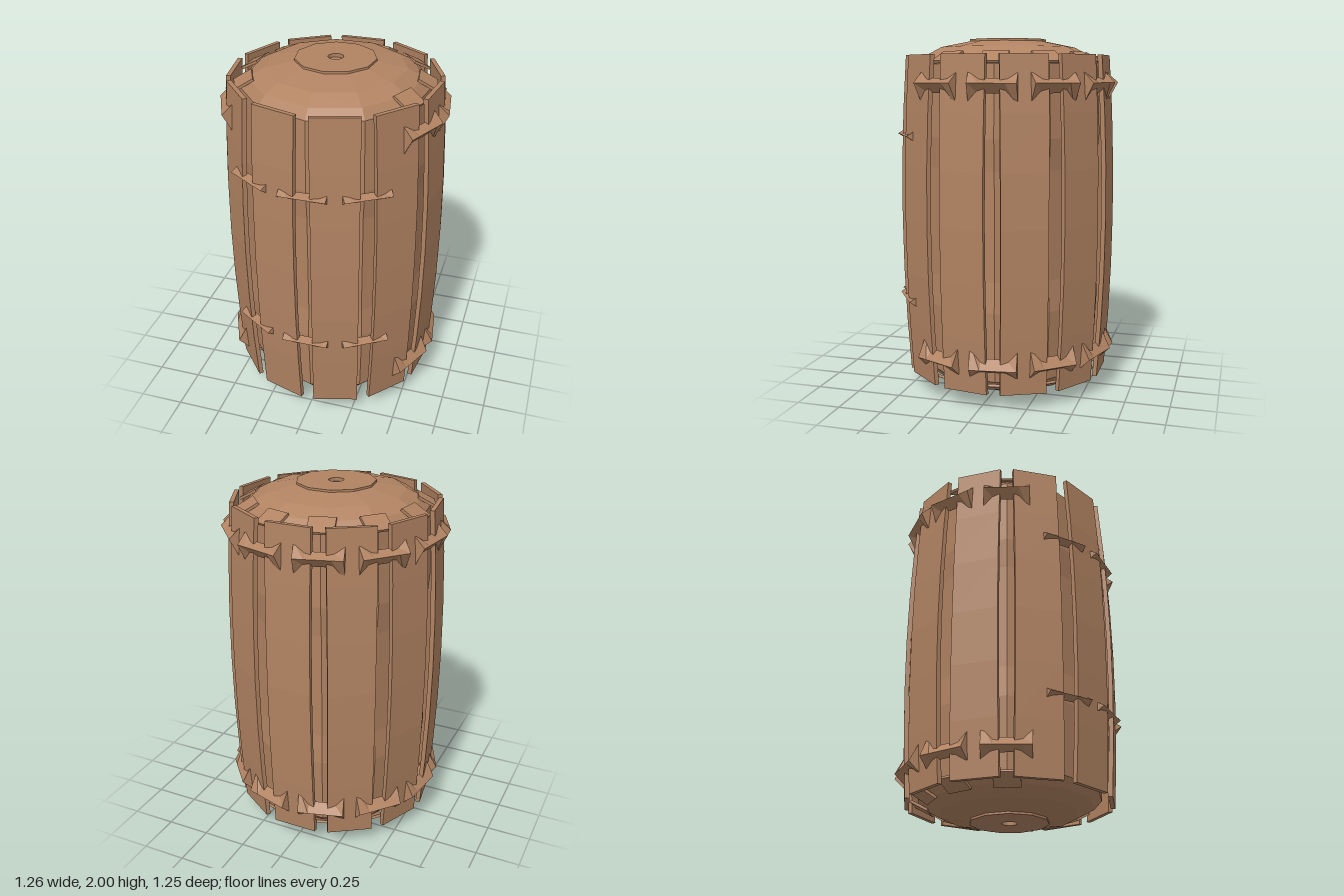
import * as THREE from 'three';

const COUNT = 11;
const STEP = (Math.PI * 2) / COUNT;

// Slightly bowed plank; local +z points outward from the barrel axis
function staveGeometry() {
  const g = new THREE.BoxGeometry(0.256, 1.82, 0.025, 1, 6, 1);
  const p = g.attributes.position;
  for (let i = 0; i < p.count; i++) {
    const t = p.getY(i) / 0.91;
    p.setZ(i, p.getZ(i) + 0.555 + 0.036 * (1 - t * t));
  }
  return g;
}

// Bow-tie wedge with a horizontal ridge, from triangular cross-sections
function clipGeometry(up, down) {
  const stations = [[-0.13, 1, 0.55], [-0.07, 0.4, 0.57], [0.07, 0.4, 0.57], [0.13, 1, 0.55]];
  const pos = [], index = [];
  for (const [u, s, root] of stations) {
    pos.push(u, up * s, root, u, 0, 0.618, u, -down * s, root);
  }
  for (let i = 0; i < stations.length - 1; i++) {
    for (let j = 0; j < 3; j++) {
      const a = i * 3 + j, b = i * 3 + (j + 1) % 3;
      index.push(a, b, b + 3, a, b + 3, a + 3);
    }
  }
  index.push(0, 2, 1, 9, 10, 11);
  const g = new THREE.BufferGeometry();
  g.setAttribute('position', new THREE.Float32BufferAttribute(pos, 3));
  g.setIndex(index);
  g.computeVertexNormals();
  return g;
}

export function createModel() {
  const model = new THREE.Group();
  model.name = 'barrel';
  const wood = new THREE.MeshStandardMaterial({ color: 0xb18362, flatShading: true, side: THREE.DoubleSide });
  wood.name = 'brown wood';

  const add = (name, geometry, angle = 0, y = 0) => {
    const m = new THREE.Mesh(geometry, wood);
    m.name = name;
    m.rotation.y = angle;
    m.position.y = y;
    model.add(m);
    return m;
  };

  // Inner body with domed ends, mirrored about mid-height
  const half = [[0.043, 0.02], [0.043, 0], [0.22, 0], [0.22, 0.012], [0.385, 0.045],
    [0.47, 0.09], [0.515, 0.14], [0.535, 0.53], [0.52, 0.7]];
  const profile = [[0, 0.02], ...half, ...half.map(([r, y]) => [r, 2 - y]).reverse(), [0, 1.98]];
  add('innerBody', new THREE.LatheGeometry(profile.map(([r, y]) => new THREE.Vector2(r, y)), COUNT));

  // Planks around the body
  const stave = staveGeometry();
  for (let i = 0; i < COUNT; i++) add('stave', stave, (i + 0.5) * STEP, 1);

  // Clips bridge the gaps; the three front pairs sit nearer the middle
  const frontClip = clipGeometry(0.04, 0.045);
  const upperClip = clipGeometry(0.065, 0.13);
  const lowerClip = clipGeometry(0.13, 0.065);
  const rimPlate = new THREE.BoxGeometry(0.14, 0.015, 0.11);
  for (let i = 0; i < COUNT; i++) {
    const angle = i * STEP;
    const front = i <= 1 || i === COUNT - 1;
    add('upperClip', front ? frontClip : upperClip, angle, front ? 1.47 : 1.76);
    add('lowerClip', front ? frontClip : lowerClip, angle, front ? 0.535 : 0.24);
    if (front) continue;
    // Small plates folded over the rims above and below the clips
    for (const side of [1, -1]) {
      const m = add('rimPlate', rimPlate, 0, 1 + side * 0.895);
      m.rotation.set(side * 0.5, angle, 0, 'YXZ');
      m.position.x = Math.sin(angle) * 0.49;
      m.position.z = Math.cos(angle) * 0.49;
    }
  }
  return model;
}
